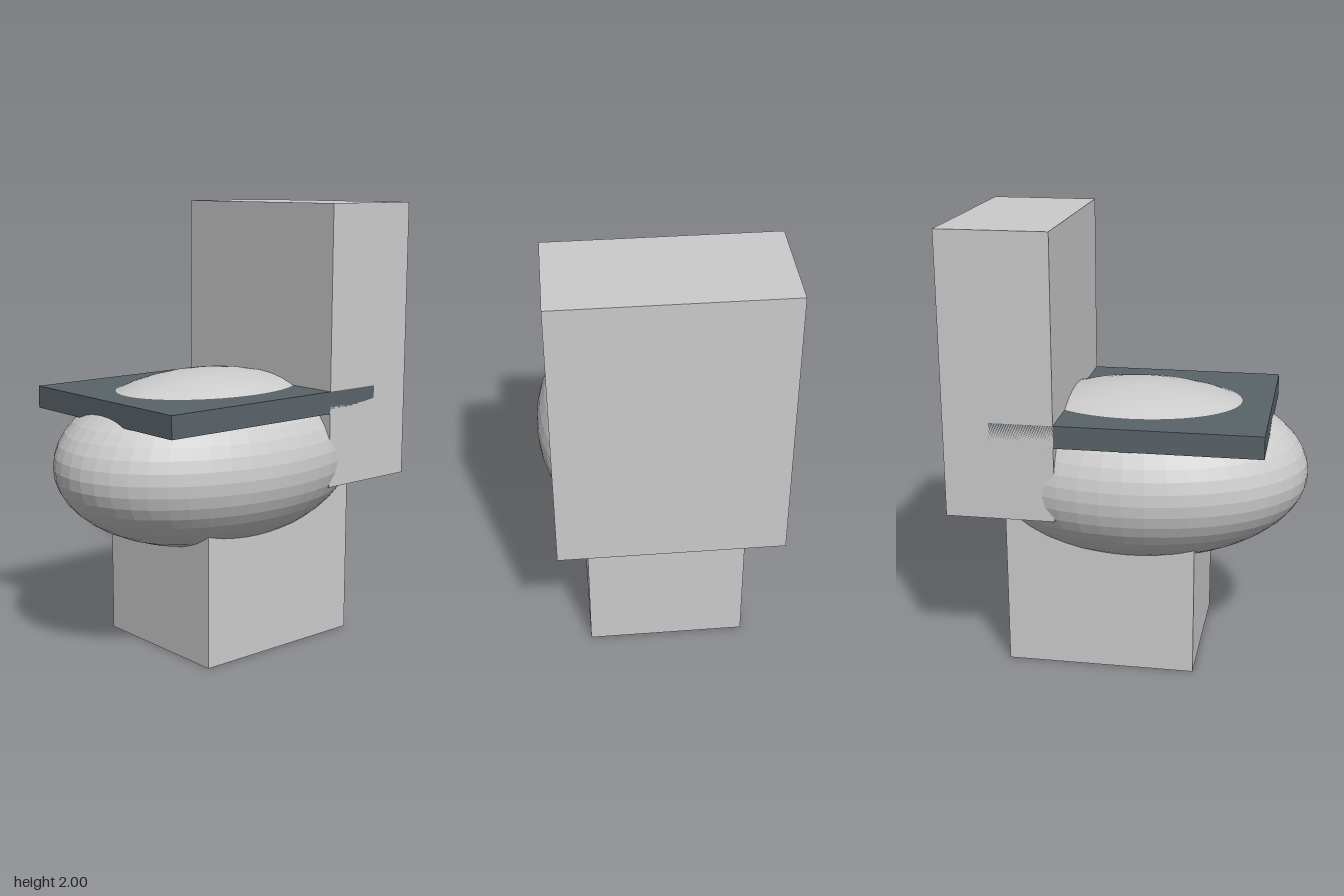
import * as THREE from 'three';

export function createModel() {
  const group = new THREE.Group();
  const grey = new THREE.MeshStandardMaterial({ color: 0xcccccc });
  const facetedGrey = new THREE.MeshStandardMaterial({ color: 0xcccccc, flatShading: true });
  const slate = new THREE.MeshStandardMaterial({ color: 0x5a6469 });

  // Box spanning [min, max] on y and z, symmetric in x
  function addBox(name, halfWidth, [y0, y1], [z0, z1], material) {
    const mesh = new THREE.Mesh(new THREE.BoxGeometry(2 * halfWidth, y1 - y0, z1 - z0), material);
    mesh.position.set(0, (y0 + y1) / 2, (z0 + z1) / 2);
    mesh.name = name;
    group.add(mesh);
  }

  addBox('pedestal', 0.352, [0, 0.715], [-0.545, 0.303], grey);
  addBox('tank', 0.485, [0.745, 2], [-0.775, -0.29], grey);
  addBox('seat', 0.485, [1.08, 1.18], [-0.57, 0.605], slate);

  // Ellipsoid bowl, bulging up through the seat
  const bowlGeometry = new THREE.SphereGeometry(1, 48, 24);
  bowlGeometry.scale(0.55, 0.4, 0.763);
  const bowl = new THREE.Mesh(bowlGeometry, facetedGrey);
  bowl.position.set(0, 0.86, 0.012);
  bowl.name = 'bowl';
  group.add(bowl);

  return group;
}
